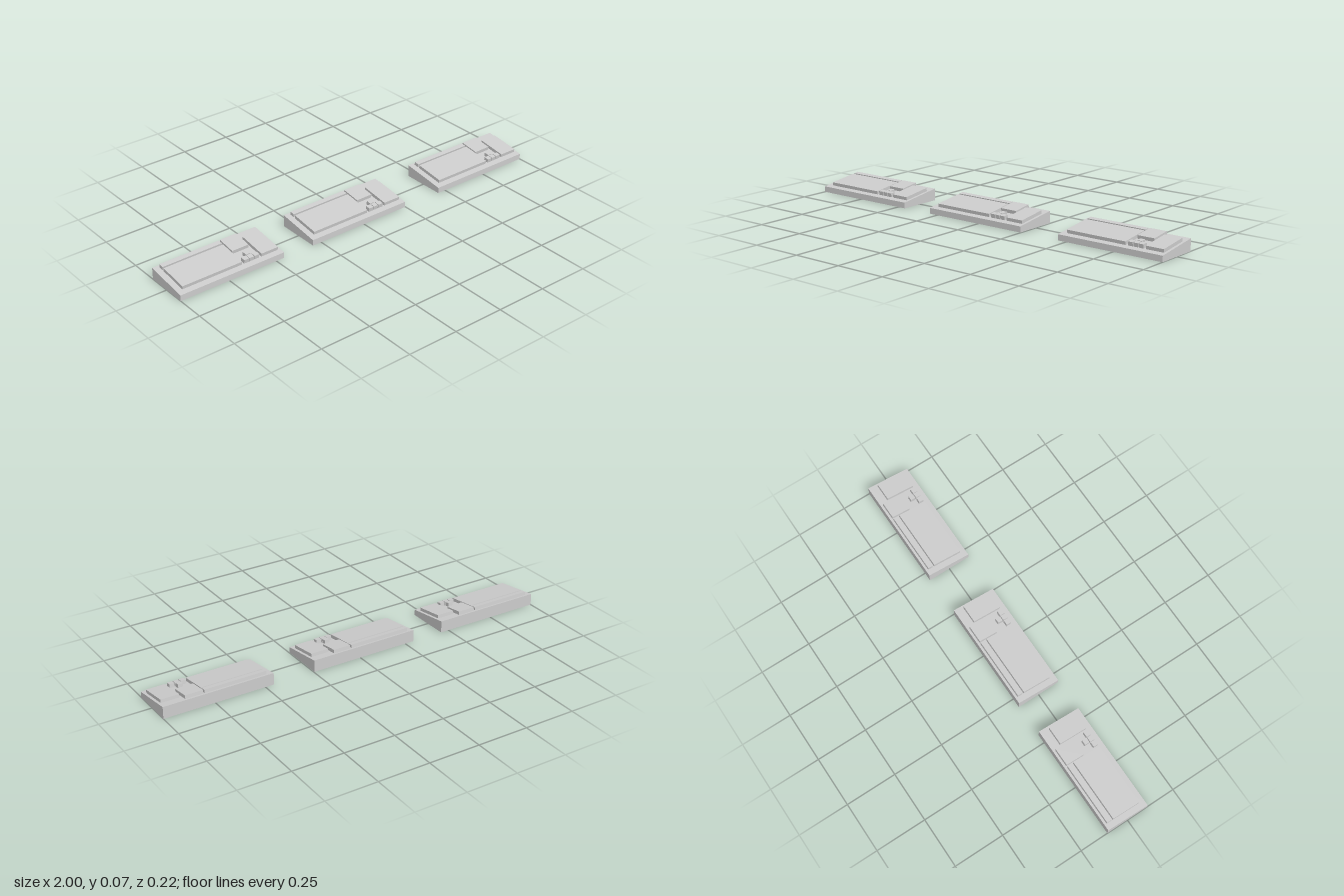
import * as THREE from 'three';

const WIDTH = 0.543, DEPTH = 0.217, FRONT_Y = 0.028, BACK_Y = 0.058;
const TILT = Math.atan2(BACK_Y - FRONT_Y, DEPTH);
const material = new THREE.MeshStandardMaterial({ color: 0xcccccc, side: THREE.DoubleSide, flatShading: true });

// Box standing on y = 0 without its bottom face
function openBox(w, h, d) {
  const geo = new THREE.BoxGeometry(w, h, d).translate(0, h / 2, 0);
  const index = Array.from(geo.index.array);
  index.splice(18, 6); // the six indices of the downward face
  geo.setIndex(index);
  geo.clearGroups();
  return geo;
}

// Hollow wedge: the top slopes up from front to back
function wedgeCase() {
  const geo = openBox(WIDTH, 1, DEPTH);
  const pos = geo.attributes.position;
  for (let i = 0; i < pos.count; i++) {
    if (pos.getY(i) > 0.5) pos.setY(i, pos.getZ(i) > 0 ? FRONT_Y : BACK_Y);
  }
  geo.computeVertexNormals();
  return geo;
}

// Key blocks: name, x range from the left edge, z range, height above the deck
const BLOCKS = [
  ['mainKeys', 0.029, 0.337, -0.064, 0.079, 0.016],
  ['functionRow', 0.029, 0.337, -0.097, -0.073, 0.016],
  ['navigationKeys', 0.343, 0.430, -0.097, -0.003, 0.017],
  ['numberPad', 0.441, 0.530, -0.064, 0.079, 0.016],
  ['arrowUp', 0.377, 0.401, 0.027, 0.051, 0.019],
  ['arrowLeft', 0.349, 0.374, 0.055, 0.079, 0.019],
  ['arrowDown', 0.377, 0.401, 0.055, 0.079, 0.019],
  ['arrowRight', 0.404, 0.429, 0.055, 0.079, 0.019],
];

function keyboard() {
  const group = new THREE.Group();
  const body = new THREE.Mesh(wedgeCase(), material);
  body.name = 'case';
  group.add(body);

  // Keys stand square to the tilted deck
  const deck = new THREE.Group();
  deck.name = 'keys';
  deck.position.y = (FRONT_Y + BACK_Y) / 2;
  deck.rotation.x = TILT;
  for (const [name, x0, x1, z0, z1, h] of BLOCKS) {
    const block = new THREE.Mesh(openBox(x1 - x0, h, (z1 - z0) / Math.cos(TILT)), material);
    block.name = name;
    block.position.set((x0 + x1) / 2 - WIDTH / 2, 0, (z0 + z1) / 2 / Math.cos(TILT));
    deck.add(block);
  }
  group.add(deck);
  return group;
}

export function createModel() {
  const model = new THREE.Group();
  model.name = 'keyboards';
  // Three keyboards in a row
  [-1, -0.296, 1 - WIDTH].forEach((left, i) => {
    const board = keyboard();
    board.name = `keyboard${i + 1}`;
    board.position.x = left + WIDTH / 2;
    model.add(board);
  });
  return model;
}
